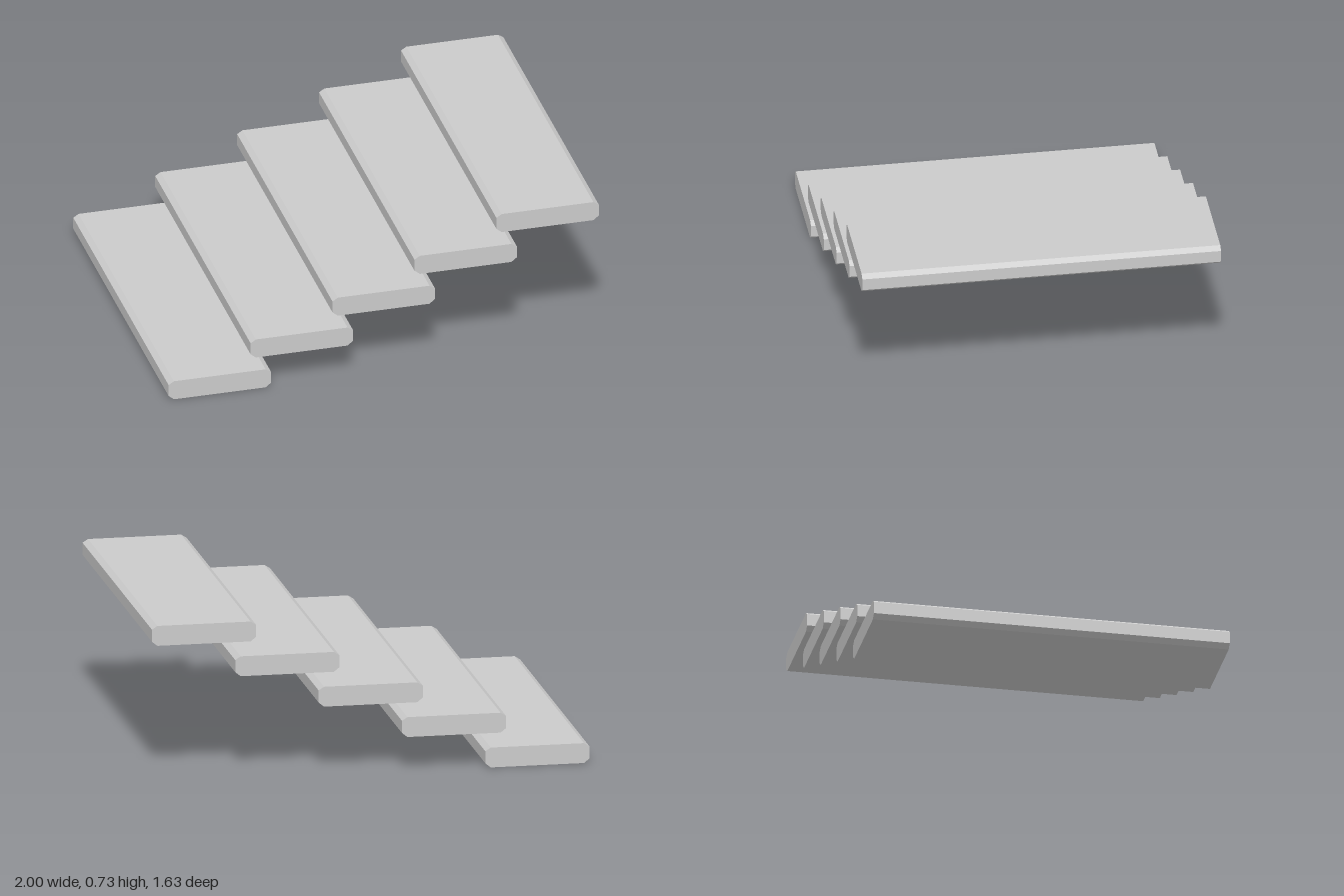
import * as THREE from 'three';

const COUNT = 5, WIDTH = 0.476, HEIGHT = 0.092, DEPTH = 1.628;
const RUN = (2 - WIDTH) / (COUNT - 1), RISE = 0.159;

// Tread cross-section: a slab with chamfered long edges
function treadGeometry() {
  const w = WIDTH / 2, c = 0.025, top = 0.016, bottom = 0.02;
  const profile = new THREE.Shape([
    [-w + c, 0], [w - c, 0], [w, bottom], [w, HEIGHT - top],
    [w - c, HEIGHT], [-w + c, HEIGHT], [-w, HEIGHT - top], [-w, bottom],
  ].map(([x, y]) => new THREE.Vector2(x, y)));
  const geometry = new THREE.ExtrudeGeometry(profile, { depth: DEPTH, bevelEnabled: false });
  return geometry.translate(0, 0, -DEPTH / 2);
}

export function createModel() {
  const stairs = new THREE.Group();
  stairs.name = 'floatingStairs';
  const material = new THREE.MeshStandardMaterial({ color: 0xcccccc, flatShading: true });
  const geometry = treadGeometry();

  // Floating treads climbing towards +x
  for (let i = 0; i < COUNT; i++) {
    const tread = new THREE.Mesh(geometry, material);
    tread.name = `tread${i + 1}`;
    tread.position.set(-1 + WIDTH / 2 + i * RUN, i * RISE, 0);
    stairs.add(tread);
  }
  return stairs;
}
